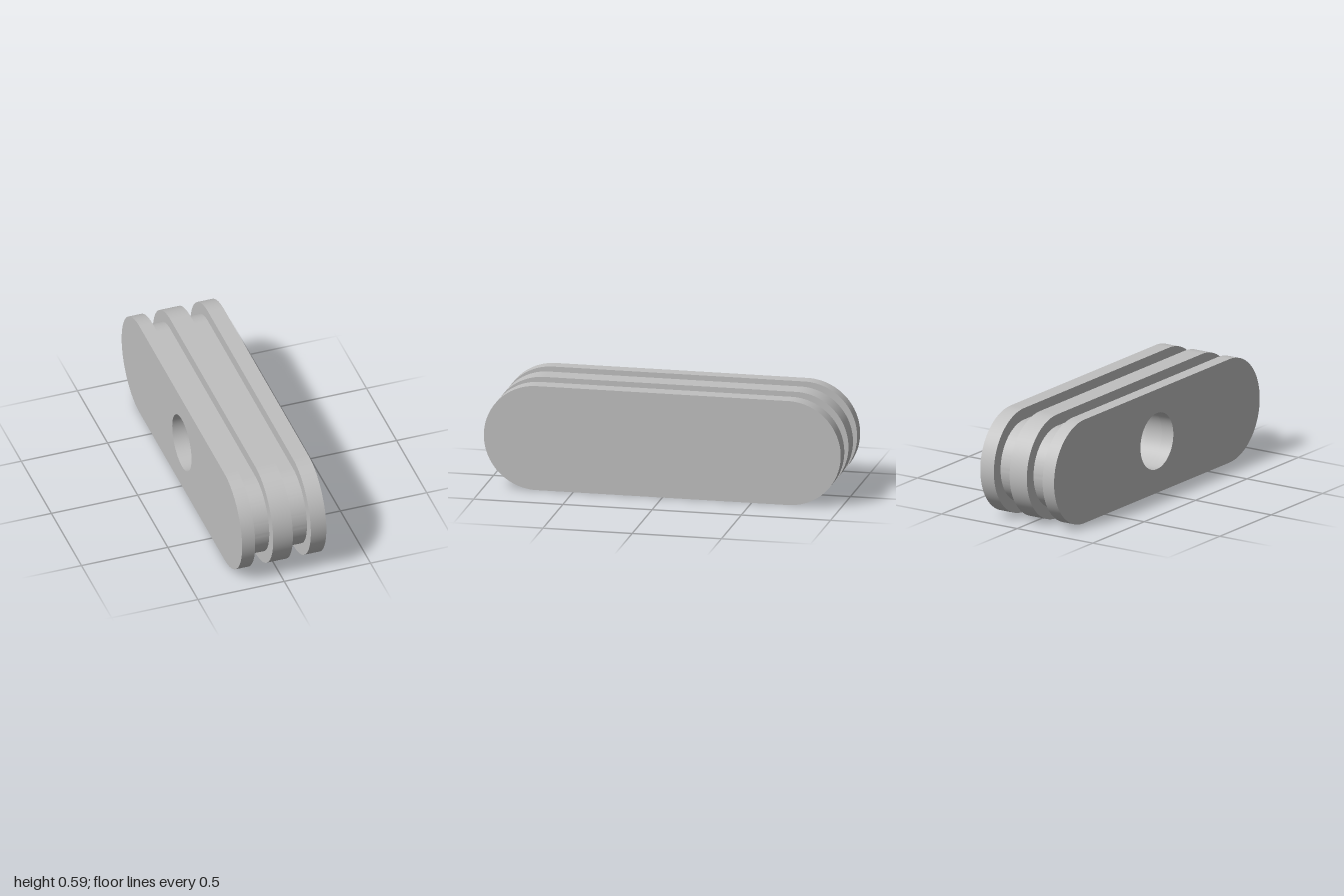
import * as THREE from 'three';
import { toCreasedNormals } from 'three/addons/utils/BufferGeometryUtils.js';

const MID_Y = 0.295;      // height of the centre line
const STRAIGHT = 0.705;   // half length of the straight edges
const BORE = 0.16;        // radius of the blind hole

// Rounded-end plate lying across x, from x0 to x1, optionally bored through
function plate(name, x0, x1, radius, bored, material) {
  const shape = new THREE.Shape();
  shape.absarc(STRAIGHT, 0, radius, -Math.PI / 2, Math.PI / 2, false);
  shape.absarc(-STRAIGHT, 0, radius, Math.PI / 2, Math.PI * 1.5, false);
  shape.closePath();
  if (bored) {
    const hole = new THREE.Path();
    hole.absarc(0, 0, BORE, 0, Math.PI * 2, true);
    shape.holes.push(hole);
  }
  const extruded = new THREE.ExtrudeGeometry(shape, { depth: x1 - x0, bevelEnabled: false, curveSegments: 40 });
  const geometry = toCreasedNormals(extruded, 0.6);
  geometry.rotateY(Math.PI / 2);
  geometry.translate(x0, MID_Y, 0);
  const mesh = new THREE.Mesh(geometry, material);
  mesh.name = name;
  return mesh;
}

export function createModel() {
  const group = new THREE.Group();
  group.name = 'groovedBlock';
  const grey = new THREE.MeshStandardMaterial({ color: 0xc0c0c0 });
  grey.name = 'light grey';

  // Wide flanges alternate with recessed grooves; the last flange closes the bore
  const R = 0.295, r = 0.23;
  const parts = [
    ['boredFlange', -0.244, -0.168, R, true],
    ['rightGroove', -0.168, -0.064, r, true],
    ['middleFlange', -0.064, 0.05, R, true],
    ['leftGroove', 0.05, 0.154, r, true],
    ['closedFlange', 0.154, 0.244, R, false],
  ];
  for (const p of parts) group.add(plate(...p, grey));
  return group;
}
